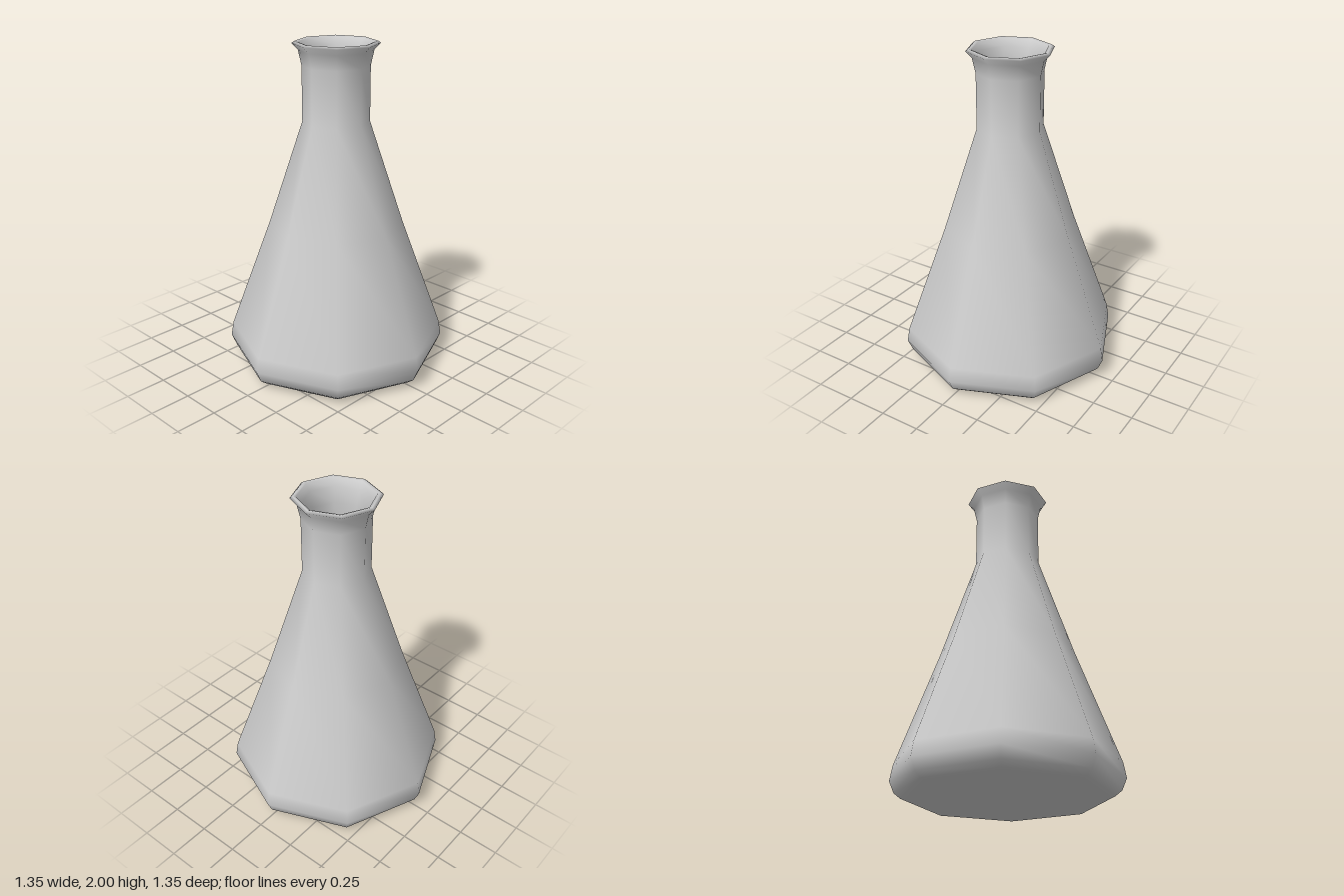
import * as THREE from 'three';

export function createModel() {
  const model = new THREE.Group();
  const glass = new THREE.MeshStandardMaterial({ color: 0xcccccc, side: THREE.DoubleSide });

  // Outer wall from base centre to lip, over the lip, then the inner wall back down
  const profile = [
    // underside and rounded foot
    [0, 0], [0.4, 0.004], [0.605, 0.018], [0.645, 0.05], [0.675, 0.12], [0.66, 0.21],
    // sloping body and neck
    [0.408, 0.9], [0.2, 1.53], [0.2, 1.86],
    // flared lip
    [0.22, 1.95], [0.257, 1.988], [0.24, 2], [0.222, 1.995], [0.198, 1.95],
    // inner neck, body and floor
    [0.175, 1.86], [0.175, 1.535], [0.38, 0.9], [0.63, 0.21],
    [0.645, 0.12], [0.62, 0.07], [0.59, 0.045], [0, 0.03],
  ].map(([r, y]) => new THREE.Vector2(r, y));

  // Eight-sided flask with smooth shading
  const flask = new THREE.Mesh(new THREE.LatheGeometry(profile, 8), glass);
  flask.name = 'flask';
  model.add(flask);
  return model;
}
